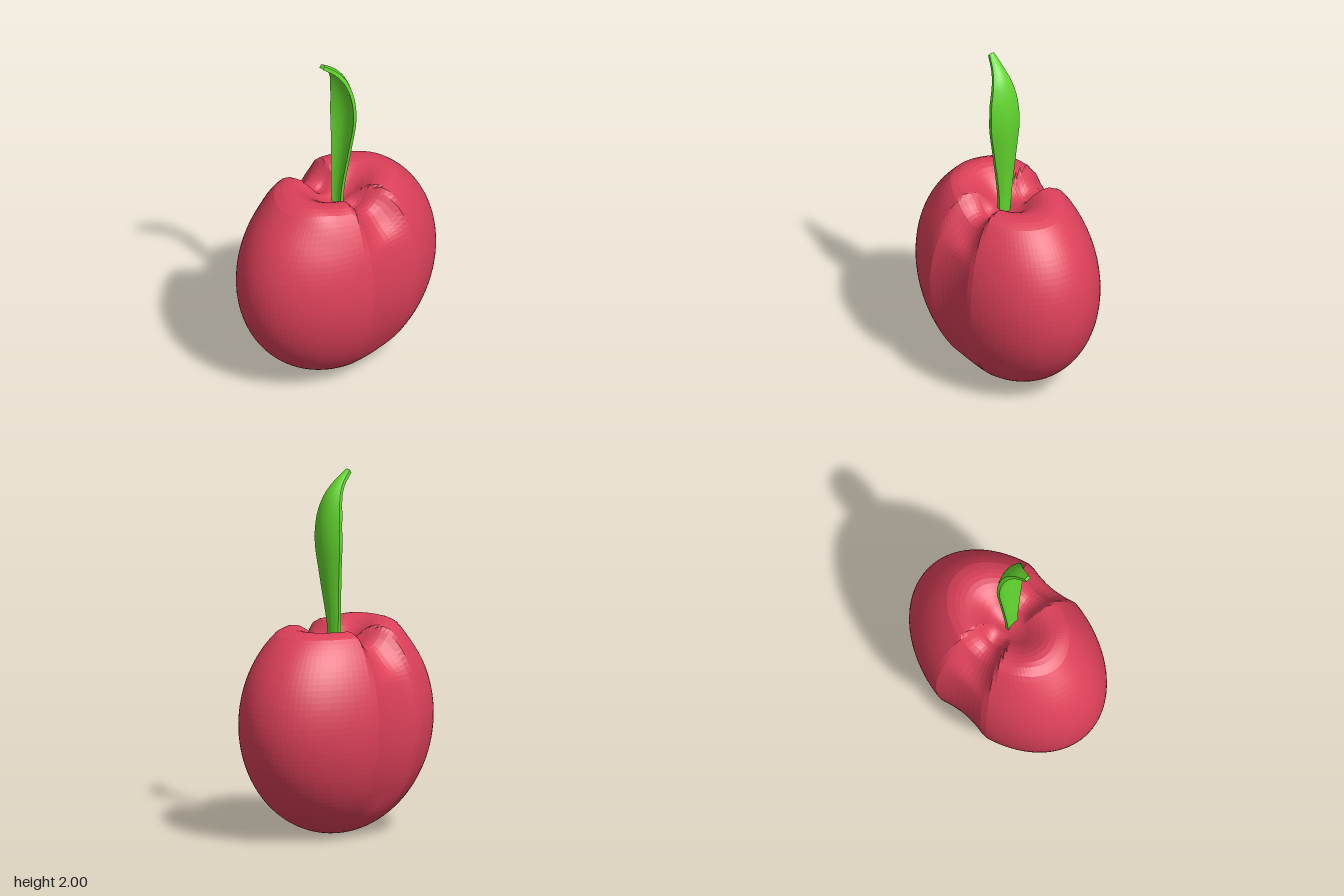
import * as THREE from 'three';
import { toCreasedNormals } from 'three/addons/utils/BufferGeometryUtils.js';

const RX = 0.63, RZ = 0.44, RY = 0.63;
const smooth = THREE.MathUtils.smoothstep;

// Flattened round fruit with a bowl at the top and a shallow cleft front and back
function fruitGeometry() {
  const profile = [];
  const rim = Math.PI - Math.asin(0.62);
  for (let i = 0; i <= 44; i++) {
    const a = (rim * i) / 44;
    profile.push(new THREE.Vector2(Math.sin(a), -Math.cos(a)));
  }
  const bowl = new THREE.SplineCurve([
    [0.62, 0.785], [0.52, 0.82], [0.4, 0.82], [0.28, 0.77], [0.17, 0.69], [0.08, 0.64], [0, 0.62],
  ].map(([r, y]) => new THREE.Vector2(r, y)));
  profile.push(...bowl.getPoints(14).slice(1));
  profile[profile.length - 1].x = 0;

  const geo = new THREE.LatheGeometry(profile, 96);
  const p = geo.attributes.position;
  for (let i = 0; i < p.count; i++) {
    const ux = p.getX(i), uy = p.getY(i), uz = p.getZ(i);
    const rho = Math.hypot(ux, uz);
    const x = ux * RX;
    let y = RY + uy * RY, z = uz * RZ;
    // cleft, leaning slightly from back to front
    const width = 0.17 * Math.sqrt(Math.max(rho, 0.05));
    const u = (x - 0.05 * uz) / width;
    const cleft = Math.max(0, 1 - u * u);
    z *= 1 - 0.1 * cleft * smooth(y, 0, 0.25);
    y -= 0.1 * cleft * smooth(uy, 0.35, 0.75) * smooth(rho, 0.1, 0.35);
    // slightly taller shoulder on one side
    const top = smooth(uy, 0.55, 0.8);
    y += 0.025 * top * Math.exp(-(((x + 0.29) / 0.1) ** 2));
    p.setXYZ(i, x, y, z);
  }
  geo.computeVertexNormals();
  return geo;
}

// Curled blade: crescent cross-sections swept along a bending path
function bladeGeometry() {
  // x, y, z of the spine, then half width
  const rows = [
    [0.012, 1.0, 0.02, 0.034], [0.02, 1.15, 0.02, 0.042], [0.045, 1.4, 0.03, 0.07],
    [0.062, 1.62, 0.037, 0.093], [0.05, 1.76, 0.037, 0.085], [0.015, 1.87, 0.033, 0.06],
    [-0.04, 1.94, 0.03, 0.036], [-0.12, 2.0, 0.025, 0.015],
  ];
  const spine = new THREE.CatmullRomCurve3(rows.map(r => new THREE.Vector3(r[0], r[1], r[2])));
  const widths = new THREE.CatmullRomCurve3(rows.map(r => new THREE.Vector3(r[3], 0, 0)));
  const steps = 28, across = 8, ring = 2 * (across + 1);
  const pos = [], index = [];
  for (let i = 0; i <= steps; i++) {
    const t = i / steps;
    const c = spine.getPoint(t), d = spine.getTangent(t), w = widths.getPoint(t).x;
    const n = new THREE.Vector2(-d.y, d.x).normalize();
    for (let k = 0; k < ring; k++) {
      const inner = k > across;
      const s = -1 + (2 * (inner ? ring - 1 - k : k)) / across;
      const off = 0.33 * w * s * s + (inner ? 0.022 : 0);
      pos.push(c.x + n.x * off, c.y + n.y * off, c.z + w * s);
    }
  }
  for (let i = 0; i < steps; i++) {
    for (let k = 0; k < ring; k++) {
      const a = i * ring + k, b = i * ring + ((k + 1) % ring);
      index.push(a, a + ring, b, b, a + ring, b + ring);
    }
  }
  // end caps
  const last = steps * ring;
  for (let k = 0; k < across; k++) {
    const m = ring - 1 - k;
    index.push(k, k + 1, m, k + 1, m - 1, m);
    index.push(last + k, last + m, last + k + 1, last + k + 1, last + m, last + m - 1);
  }
  const geo = new THREE.BufferGeometry();
  geo.setAttribute('position', new THREE.Float32BufferAttribute(pos, 3));
  geo.setIndex(index);
  return toCreasedNormals(geo, 0.7);
}

export function createModel() {
  const group = new THREE.Group();
  group.name = 'fruit';

  const body = new THREE.Mesh(
    fruitGeometry(),
    new THREE.MeshStandardMaterial({ color: 0xdc4059, flatShading: true }),
  );
  body.name = 'fruitBody';

  const stem = new THREE.Mesh(bladeGeometry(), new THREE.MeshStandardMaterial({ color: 0x62d62e }));
  stem.name = 'leafStem';

  group.add(body, stem);
  return group;
}
